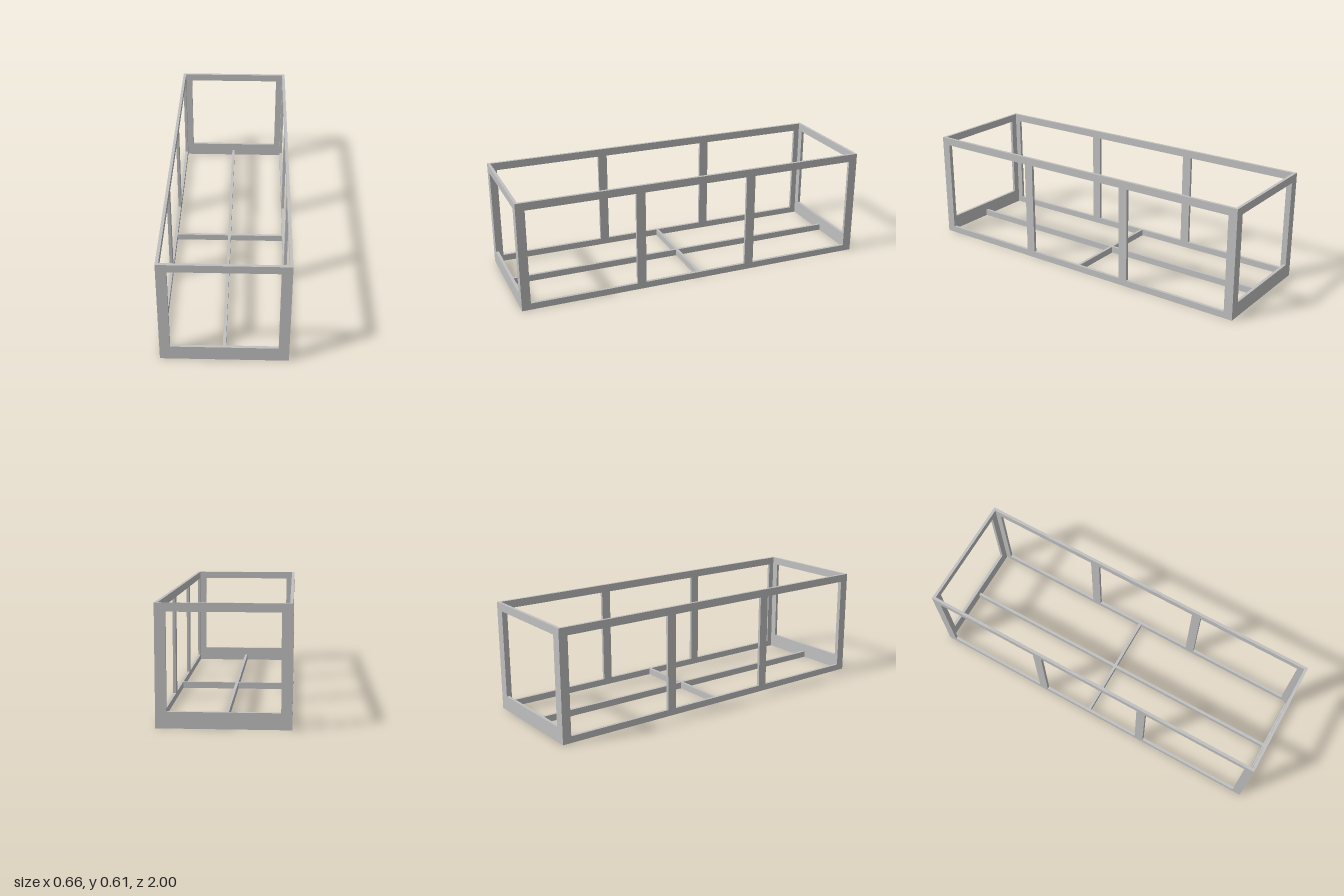
import * as THREE from 'three';

const HX = 0.328, H = 0.605, HZ = 1; // half width, height, half length
const T = 0.016;                     // sheet thickness of every bar

export function createModel() {
  const model = new THREE.Group();
  model.name = 'openFrame';
  const steel = new THREE.MeshStandardMaterial({ color: 0xc0c0c0 });
  steel.name = 'greySteel';

  // Box given by its min and max corners
  function bar(name, [x0, y0, z0], [x1, y1, z1]) {
    const mesh = new THREE.Mesh(new THREE.BoxGeometry(x1 - x0, y1 - y0, z1 - z0), steel);
    mesh.position.set((x0 + x1) / 2, (y0 + y1) / 2, (z0 + z1) / 2);
    mesh.name = name;
    model.add(mesh);
  }

  // Corner post: upright angle profile, outer corner at (sx * HX, sz * HZ)
  function cornerPost(sx, sz) {
    const points = [[0, 0], [0.054, 0], [0.054, T], [T, T], [T, 0.049], [0, 0.049]]
      .map(([a, b]) => new THREE.Vector2(sx * (HX - a), -sz * (HZ - b)));
    const geometry = new THREE.ExtrudeGeometry(new THREE.Shape(points), { depth: H, bevelEnabled: false });
    geometry.rotateX(-Math.PI / 2);
    const mesh = new THREE.Mesh(geometry, steel);
    mesh.name = 'cornerPost';
    model.add(mesh);
  }

  for (const s of [-1, 1]) {
    cornerPost(s, 1);
    cornerPost(s, -1);

    // Long side rails and middle posts
    const x0 = s > 0 ? HX - T : -HX, x1 = x0 + T;
    bar('sideBottomRail', [x0, 0, -HZ + 0.049], [x1, 0.036, HZ - 0.049]);
    bar('sideTopRail', [x0, 0.5625, -HZ + 0.049], [x1, H, HZ - 0.049]);
    for (const z of [-0.322, 0.328]) {
      bar('middlePost', [x0, 0.036, z - 0.026], [x1, 0.5625, z + 0.026]);
    }

    // End rails: two stacked at the bottom, one at the top
    const z0 = s > 0 ? HZ - T : -HZ, z1 = z0 + T, w = HX - 0.054;
    bar('endBottomRail', [-w, 0, z0], [w, 0.04, z1]);
    bar('endUpperRail', [-w, 0.04, z0], [w, 0.082, z1]);
    bar('endTopRail', [-w, 0.5625, z0], [w, H, z1]);
  }

  // Floor: lengthwise spine and the cross bar on either side of it
  bar('floorSpine', [-0.01, 0, -HZ + T], [0.006, 0.036, HZ - T]);
  bar('floorCrossBar', [-HX + T, 0, -0.022], [-0.01, 0.036, -0.006]);
  bar('floorCrossBar', [0.006, 0, -0.022], [HX - T, 0.036, -0.006]);

  return model;
}
